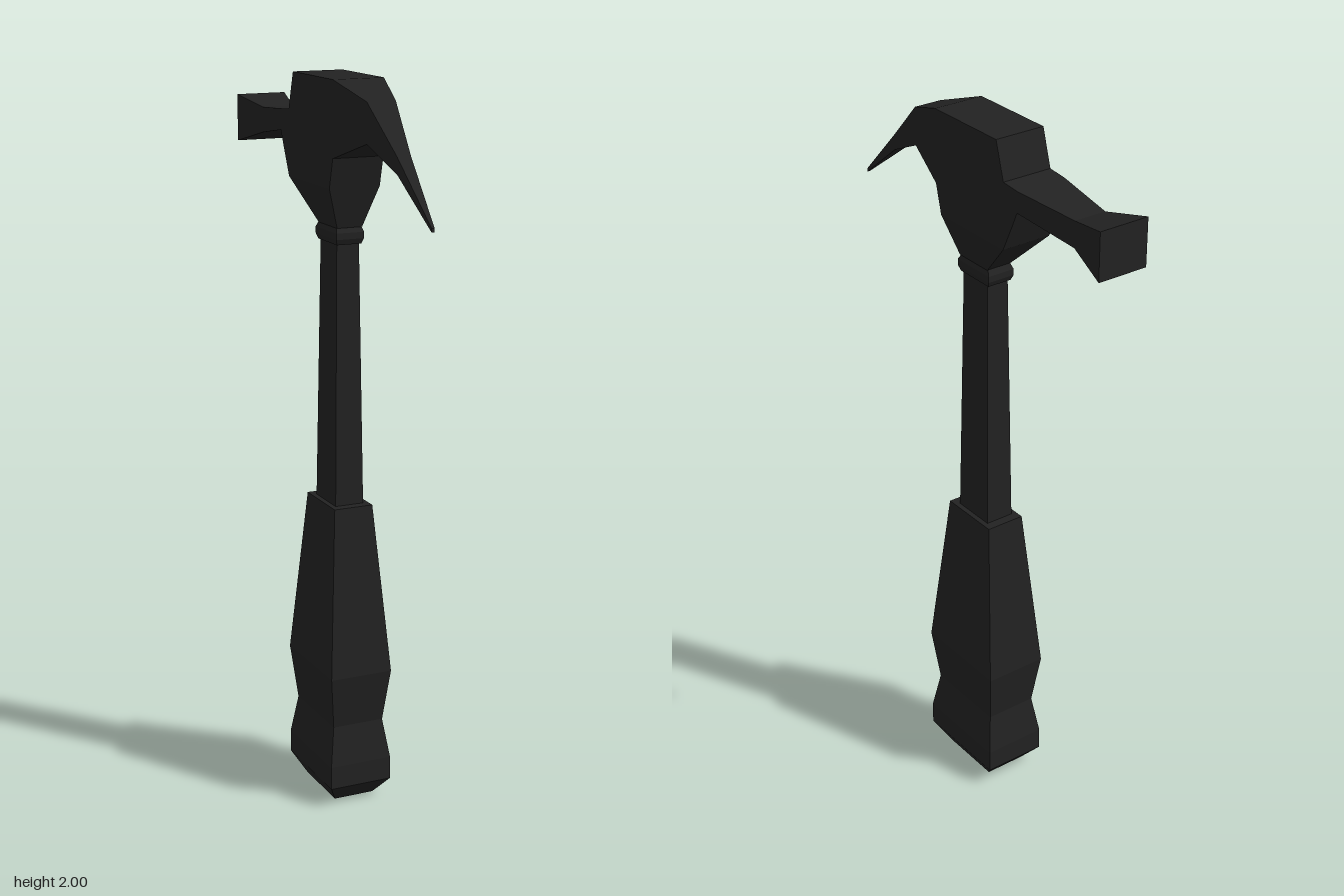
import * as THREE from 'three';

// Four-cornered rings: upright ones for the handle, facing ones for the claw and poll.
const level = (y, hx, zFront, zBack = -zFront) =>
  [[hx, y, zFront], [hx, y, zBack], [-hx, y, zBack], [-hx, y, zFront]];
const slice = (z, hx, top, bottom) =>
  [[hx, bottom, z], [hx, top, z], [-hx, top, z], [-hx, bottom, z]];

// Skins a row of rings (ordered along +y or +z) with flat faces and end caps.
function loft(rings) {
  const pos = [];
  const quad = (a, b, c, d) => pos.push(...a, ...b, ...c, ...a, ...c, ...d);
  for (let r = 0; r < rings.length - 1; r++) {
    for (let i = 0; i < 4; i++) {
      const j = (i + 1) % 4;
      quad(rings[r][i], rings[r][j], rings[r + 1][j], rings[r + 1][i]);
    }
  }
  quad(...[...rings[0]].reverse());
  quad(...rings[rings.length - 1]);
  const geo = new THREE.BufferGeometry();
  geo.setAttribute('position', new THREE.Float32BufferAttribute(pos, 3));
  geo.computeVertexNormals();
  return geo;
}

export function createModel() {
  const group = new THREE.Group();
  group.name = 'clawHammer';
  const black = new THREE.MeshStandardMaterial({ color: 0x222222 });
  black.name = 'matteBlack';

  const add = (name, rings) => {
    const mesh = new THREE.Mesh(loft(rings), black);
    mesh.name = name;
    group.add(mesh);
  };

  // Contoured grip with a chamfered butt
  add('grip', [
    level(0, 0.058, 0.095),
    level(0.055, 0.09, 0.143),
    level(0.12, 0.09, 0.143),
    level(0.23, 0.074, 0.123),
    level(0.38, 0.09, 0.145),
    level(0.85, 0.056, 0.091),
  ]);

  // Tapering shaft and the collar under the head
  add('shaft', [level(0.85, 0.041, 0.064), level(1.57, 0.032, 0.052)]);
  add('collar', [
    level(1.565, 0.035, 0.06),
    level(1.58, 0.04, 0.067),
    level(1.597, 0.04, 0.067),
    level(1.612, 0.035, 0.058),
  ]);

  // Head body, flaring up from the neck
  add('headBody', [
    level(1.61, 0.036, 0.063, -0.056),
    level(1.72, 0.072, 0.094, -0.17),
    level(1.80, 0.072, 0.115, -0.208),
    level(1.838, 0.072, 0.115, -0.225),
    level(1.895, 0.072, 0.115, -0.225),
    level(1.90, 0.072, 0.115, -0.17),
    level(2.0, 0.072, 0.115, -0.14),
  ]);

  // Claw curving forward and down to a point
  add('claw', [
    slice(0.115, 0.072, 2.0, 1.80),
    slice(0.25, 0.04, 1.955, 1.85),
    slice(0.38, 0.019, 1.833, 1.79),
    slice(0.54, 0.004, 1.68, 1.67),
  ]);

  // Neck and flared striking face at the back
  add('poll', [
    slice(-0.54, 0.072, 1.905, 1.775),
    slice(-0.415, 0.046, 1.88, 1.81),
    slice(-0.225, 0.072, 1.895, 1.838),
  ]);

  return group;
}
